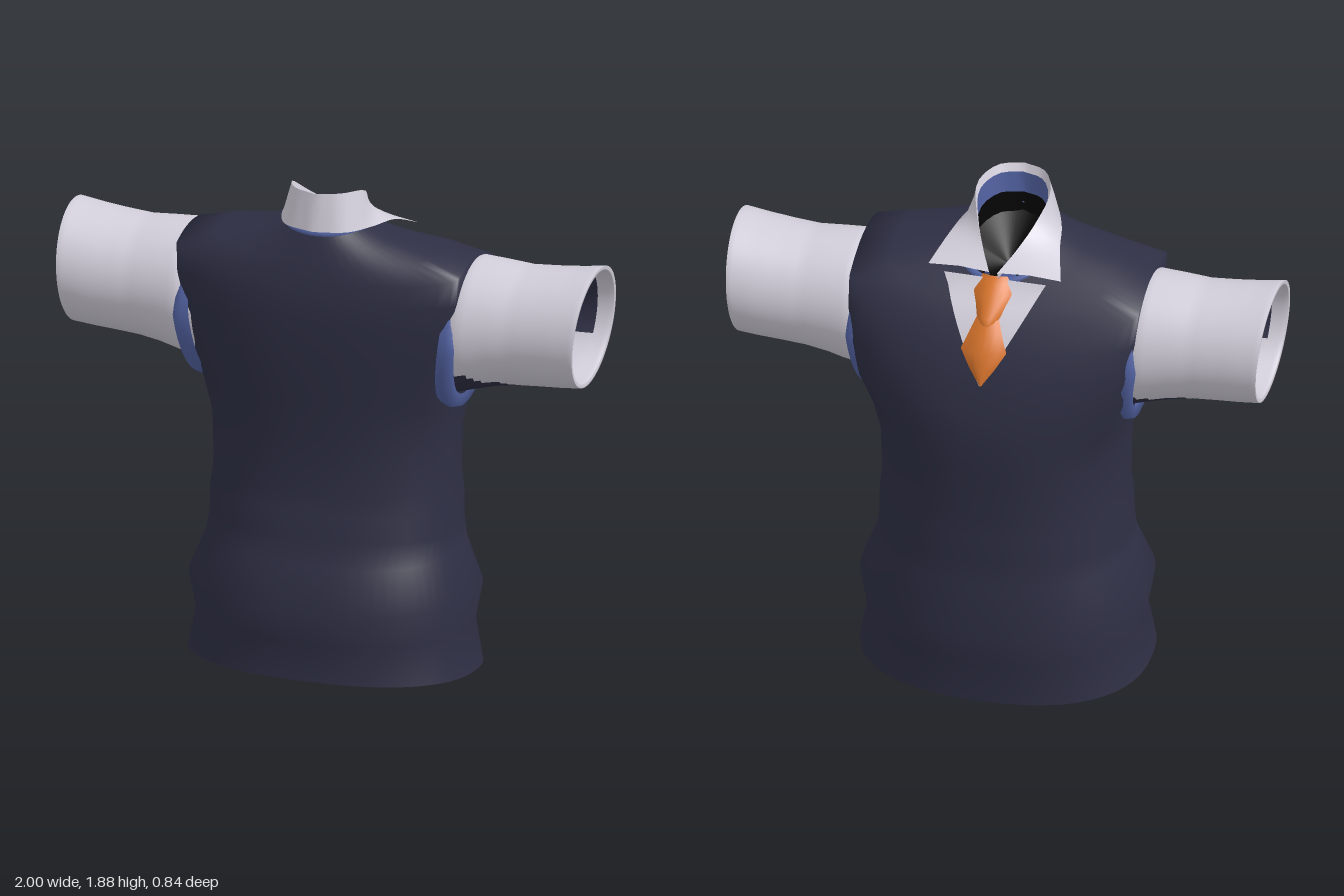
import * as THREE from 'three';

const mat = (name, color) => {
  const m = new THREE.MeshStandardMaterial({ color, side: THREE.DoubleSide });
  m.name = name;
  return m;
};
const V = (x, y, z) => new THREE.Vector3(x, y, z);

// Skin a list of point rows; pick(i, j) chooses the material index of each cell
function loft(rows, closed, pick) {
  const n = rows[0].length, cols = closed ? n : n - 1;
  const cells = [[], [], []];
  for (let i = 0; i < rows.length - 1; i++) {
    for (let j = 0; j < cols; j++) {
      const k = (j + 1) % n;
      const a = i * n + j, b = i * n + k, c = (i + 1) * n + k, d = (i + 1) * n + j;
      cells[pick ? pick(i, j) : 0].push(a, d, b, b, d, c);
    }
  }
  const g = new THREE.BufferGeometry().setFromPoints(rows.flat());
  g.setIndex(cells.flat());
  if (pick) {
    let start = 0;
    cells.forEach((c, m) => {
      if (c.length) g.addGroup(start, c.length, m);
      start += c.length;
    });
  }
  g.computeVertexNormals();
  return g;
}

// Vest sections: half width, front z, front y, back z, back y, side y, flatness of the sides
const SECTIONS = [
  [.53, -.39, .005, .405, .085, .045, 0],
  [.50, -.395, .17, .39, .22, .2, 0],
  [.525, -.42, .28, .42, .34, .35, 0],
  [.465, -.39, .48, .35, .5, .5, 0],
  [.455, -.39, .58, .32, .6, .58, 0],
  [.455, -.39, .68, .315, .69, .67, 0],
  [.445, -.385, .76, .285, .75, .77, 0],
  [.45, -.40, .95, .285, .97, .95, 0],
  [.46, -.405, 1.08, .295, 1.12, 1.06, .05],
  [.485, -.395, 1.19, .305, 1.28, 1.22, .18],
  [.51, -.368, 1.32, .305, 1.42, 1.38, .28],
  [.53, -.327, 1.42, .30, 1.5, 1.52, .3],
  [.535, -.28, 1.5, .285, 1.57, 1.64, .3],
  [.40, -.24, 1.55, .27, 1.62, 1.675, .18],
  [.27, -.2, 1.59, .25, 1.68, 1.695, .06],
  [.17, -.17, 1.62, .225, 1.735, 1.72, 0],
];
function section([hw, zf, yf, zb, yb, ym, flat]) {
  const pow = (v) => Math.sign(v) * Math.abs(v) ** 0.85;
  return Array.from({ length: 64 }, (_, j) => {
    const a = (j / 64) * Math.PI * 2;
    const x = THREE.MathUtils.clamp(hw * (1 + flat) * pow(Math.cos(a)), -hw, hw);
    const k = pow(Math.sin(a));
    const y = ym + (yb - yf) / 2 * k + ((yb + yf) / 2 - ym) * k * k;
    return V(x, y, k > 0 ? zb * k : -zf * k);
  });
}

export function createModel() {
  const navy = mat('navyKnit', 0x2e2f44);
  const white = mat('whiteCotton', 0xd3cfdb);
  const blue = mat('blueTrim', 0x5363a3);
  const orange = mat('orangeTie', 0xdb762d);
  const black = mat('blackInside', 0x050505);
  const group = new THREE.Group();
  const add = (name, geo, m, parent = group) => {
    const mesh = new THREE.Mesh(geo, m);
    mesh.name = name;
    parent.add(mesh);
    return mesh;
  };

  // Vest
  const rings = SECTIONS.map(section);
  const vest = add('vest', loft(rings, true), navy);

  // Dark closures inside the hem and the neck
  const fan = (ring, c) => loft([ring, ring.map(() => c.clone())], true);
  add('hemInside', fan(rings[0], V(0, .055, 0)), black);
  const neck = rings[rings.length - 1];
  add('neckInside', fan(neck.map((p) => V(p.x * .95, p.y - .03, p.z * .95)), V(0, 1.58, .02)), black);

  // Trim around the neck, tucked under the collar
  const neckCurve = new THREE.CatmullRomCurve3(
    neck.filter((p, j) => j % 4 === 0).map((p) => V(p.x * .96, p.y - .002, p.z * .98)), true);
  add('neckTrim', new THREE.TubeGeometry(neckCurve, 48, .014, 6, true), blue);

  // Collar: half edges running from the back to the front tip, mirrored
  const edge = (pts) => {
    const half = new THREE.CatmullRomCurve3(pts.map((p) => V(...p))).getPoints(16);
    return [...half.slice(1).reverse().map((p) => V(-p.x, p.y, p.z)), ...half];
  };
  const top = edge([[0, 1.885, .225], [.085, 1.885, .19], [.135, 1.865, .08],
    [.11, 1.795, -.02], [.06, 1.72, -.12], [.015, 1.67, -.2]]);
  const base = edge([[0, 1.745, .242], [.115, 1.745, .205], [.174, 1.735, .09],
    [.206, 1.715, -.05], [.245, 1.66, -.18]]);
  const mid = top.map((p, j) => p.clone().lerp(base[j], .5).add(V(0, .008, 0)));
  add('collar', loft([top, mid, base], false), white);
  const inner = (s, drop) => top.map((p) => V(p.x * s, p.y - drop, p.z * s));
  add('collarInnerRim', loft([top, inner(.94, .03)], false), white);
  add('collarLining', loft([inner(.94, .03), inner(.93, .11)], false), blue);
  add('collarInside', loft([inner(.93, .11), inner(.92, .2)], false), black);

  // Lay a panel on the vest front: rows of [y, half width, edge lift, centre lift]
  const ray = new THREE.Raycaster();
  vest.updateMatrixWorld();
  const drape = (rows, cols) => loft(rows.map(([y, hw, edgeLift, midLift]) =>
    Array.from({ length: cols + 1 }, (_, j) => {
      const t = (j / cols) * 2 - 1, x = t * hw;
      ray.set(V(x + 1e-4, y, -1), V(0, 0, 1));
      const hit = ray.intersectObject(vest)[0];
      const z = hit ? Math.min(hit.point.z, -.17) : -.17;
      return V(x, y, z - THREE.MathUtils.lerp(midLift, edgeLift, t * t));
    })), false);
  const shirtRows = Array.from({ length: 10 }, (_, i) =>
    [1.3 + i * .037, .004 + i * .0205, .005, .006]);
  add('shirtFront', drape(shirtRows, 10), white);
  add('tieBlade', drape([[1.3, .004, .003, .008], [1.36, .047, .004, .022], [1.42, .084, .004, .03],
    [1.48, .062, .004, .03], [1.54, .038, .004, .028]], 6), orange);
  add('tieKnot', drape([[1.505, .034, .004, .028], [1.53, .046, .004, .042], [1.59, .072, .004, .044],
    [1.625, .056, .004, .036], [1.645, .045, 0, .01]], 6), orange);

  // Sleeves: x, top y, bottom y, half depth, lean of the opening
  const SLEEVE = [
    [.47, 1.61, 1.11, .225, .02], [.54, 1.63, 1.14, .234, .0], [.63, 1.625, 1.165, .225, 0],
    [.72, 1.618, 1.18, .218, .005], [.81, 1.625, 1.187, .22, .01], [.9, 1.635, 1.193, .224, .015],
    [.98, 1.648, 1.2, .225, .02],
    [.978, 1.632, 1.216, .209, .02], [.9, 1.62, 1.22, .2, .015], [.8, 1.61, 1.22, .195, .01],
    [.7, 1.6, 1.2, .19, 0], [.69, 1.41, 1.4, .001, 0],
  ];
  const FINE = 4, N = 64;
  const stations = SLEEVE.slice(0, -1).flatMap((s, i) => Array.from({ length: FINE }, (_, k) =>
    s.map((v, m) => THREE.MathUtils.lerp(v, SLEEVE[i + 1][m], k / FINE))));
  stations.push(SLEEVE[SLEEVE.length - 1]);
  const oval = (f) => Array.from({ length: N }, (_, j) => {
    const a = (j / N) * Math.PI * 2;
    return f(Math.sin(a), Math.cos(a));
  });
  // Underarm patch: [angle from the bottom, x where it ends] towards the back and the front
  const PATCH = { 1: [[1, .76], [.75, .72]], '-1': [[.5, .8], [.8, .95]] };
  for (const side of [1, -1]) {
    const arm = new THREE.Group();
    arm.name = side > 0 ? 'leftArm' : 'rightArm';
    group.add(arm);
    const rows = stations.map(([x, t, b, rz, lean]) => oval((s, c) =>
      V(side * (x + lean * s), (t + b) / 2 + s * (t - b) / 2, c * rz)));
    // White outside with the dark patch, then white rim, lining and dark depth inside
    const colour = (i, j) => {
      const angle = (j + .5) / N * Math.PI * 2 - Math.PI * 1.5;
      const part = i / FINE;
      if (part >= 9) return 2;
      if (part >= 7.6) return Math.cos(angle) > .5 ? 0 : 1;
      if (part >= 6) return 0;
      const [spread, end] = PATCH[side][Math.sin(angle) > 0 ? 0 : 1];
      const x = stations[i][0];
      const limit = spread * Math.sqrt(Math.max(0, (end - x) / (end - .5))) + .06 * Math.sin(x * 40);
      return x < end && Math.cos(angle) > Math.cos(Math.max(0, limit)) ? 1 : 0;
    };
    add('sleeve', loft(rows, true, colour), [white, navy, black], arm);

    // Armhole band standing out from the vest, dropping inward under the arm, tucked in at the shoulder
    const band = [[.295, .246, -.03], [.297, .25, 0], [.288, .246, .03], [.24, .222, .034]].map(([ry, rz, out]) =>
      oval((s, c) => {
        const up = Math.max(0, s);
        return V(side * (.503 + .04 * Math.min(s, 0) + out * (1 - .9 * up)),
          1.355 + s * ry * (1 - .14 * Math.sqrt(up)), c * rz * (1 - .06 * up) - .006);
      }));
    add('armholeBand', loft(band, true), blue, arm);
  }
  return group;
}
